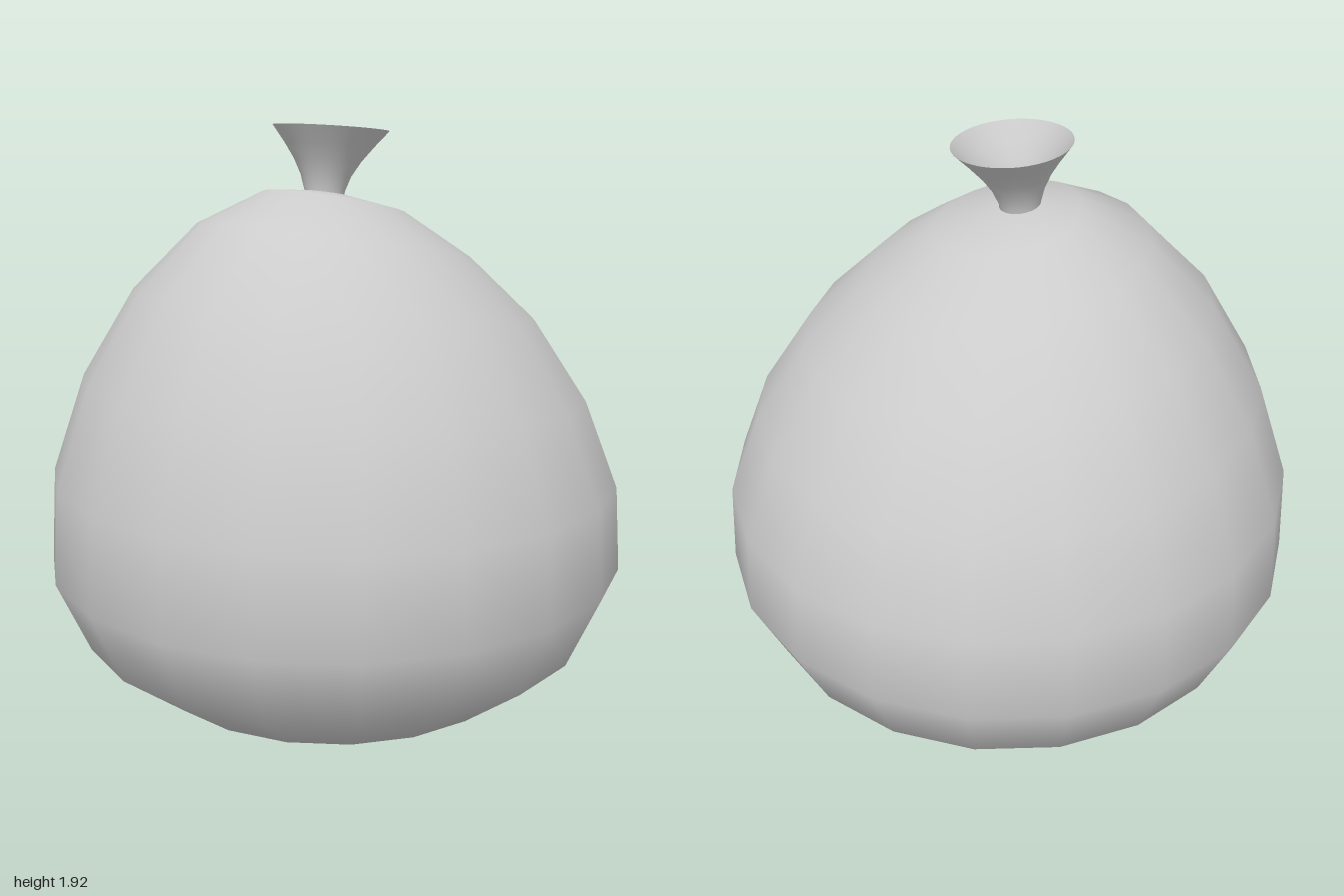
import * as THREE from 'three';
import { mergeVertices } from 'three/addons/utils/BufferGeometryUtils.js';

// Lathe whose rings may each be tilted and shifted along x.
// Each row: [radius, height, tilt, centreX], listed from bottom to top.
function tiltedLathe(rows, segments, phiStart = 0) {
  const points = rows.map(([r, y]) => new THREE.Vector2(r, y));
  const lathe = new THREE.LatheGeometry(points, segments, phiStart);
  const pos = lathe.attributes.position;
  for (let i = 0; i < pos.count; i++) {
    const [, , tilt, cx] = rows[i % rows.length];
    pos.setY(i, pos.getY(i) - tilt * pos.getX(i));
    pos.setX(i, pos.getX(i) + cx);
  }
  // Weld the seam so the shading runs smoothly all the way round
  lathe.deleteAttribute('uv');
  lathe.deleteAttribute('normal');
  const geometry = mergeVertices(lathe, 1e-4);
  geometry.computeVertexNormals();
  return geometry;
}

export function createModel() {
  const group = new THREE.Group();
  group.name = 'tiedSack';

  // Bulging sack, 20 sided, its upper rings leaning down towards +x
  const bodyRows = [
    [0, 0, 0, 0],
    [0.66, 0, 0, 0],
    [0.89, 0.18, 0, 0],
    [1.0, 0.43, 0, 0],
    [0.98, 0.73, 0.02, 0],
    [0.865, 1.04, 0.058, 0],
    [0.685, 1.32, 0.103, 0],
    [0.465, 1.53, 0.172, 0],
    [0.24, 1.66, 0.21, 0],
    [0, 1.7, 0, -0.03],
  ];
  const body = new THREE.Mesh(
    tiltedLathe(bodyRows, 20, -0.04),
    new THREE.MeshStandardMaterial({ color: 0xcccccc }),
  );
  body.name = 'sackBody';
  group.add(body);

  // Gathered neck flaring out to an open, slightly tilted rim
  const neckRows = [
    [0.066, 1.66, 0.08, -0.048],
    [0.068, 1.7, 0.08, -0.046],
    [0.085, 1.75, 0.08, -0.04],
    [0.113, 1.8, 0.08, -0.032],
    [0.15, 1.85, 0.08, -0.024],
    [0.195, 1.905, 0.08, -0.016],
  ];
  const neck = new THREE.Mesh(
    tiltedLathe(neckRows, 40),
    new THREE.MeshStandardMaterial({ color: 0xcccccc, side: THREE.DoubleSide }),
  );
  neck.name = 'sackNeck';
  group.add(neck);

  return group;
}
